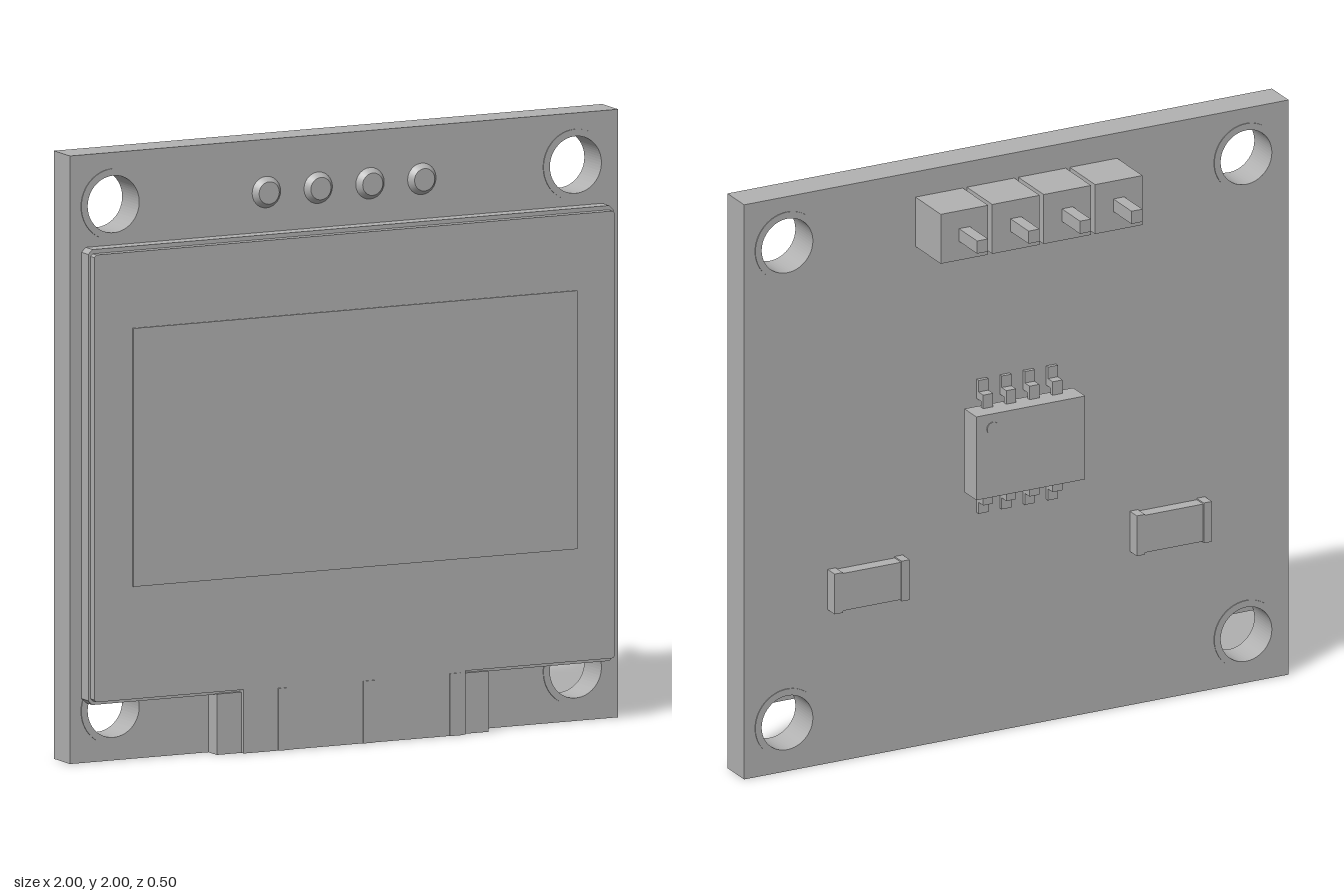
import * as THREE from 'three';

export function createModel() {
  const model = new THREE.Group();
  const grey = new THREE.MeshStandardMaterial({ color: 0xb2b2b2 });
  grey.name = 'plain grey';

  const add = (name, geometry) => {
    const mesh = new THREE.Mesh(geometry, grey);
    mesh.name = name;
    model.add(mesh);
    return mesh;
  };
  // Box given by its limits on each axis
  const block = (name, x0, x1, y0, y1, z0, z1) => {
    const g = new THREE.BoxGeometry(x1 - x0, y1 - y0, z1 - z0);
    g.translate((x0 + x1) / 2, (y0 + y1) / 2, (z0 + z1) / 2);
    return add(name, g);
  };
  // Flat outline pushed from z0 to z1
  const slab = (name, shape, z0, z1) => {
    const g = new THREE.ExtrudeGeometry(shape, { depth: z1 - z0, bevelEnabled: false, curveSegments: 32 });
    g.translate(0, 0, z0);
    return add(name, g);
  };
  const outline = (pts) => new THREE.Shape(pts.map(([x, y]) => new THREE.Vector2(x, y)));
  const circle = (x, y, r) => new THREE.Path().absarc(x, y, r, 0, Math.PI * 2, true);

  // Circuit board with four mounting holes
  const holeSpots = [[-0.843, 0.17], [0.843, 0.17], [-0.843, 1.83], [0.843, 1.83]];
  const board = outline([[-1, 0], [1, 0], [1, 2], [-1, 2]]);
  for (const [x, y] of holeSpots) board.holes.push(circle(x, y, 0.094));
  slab('circuitBoard', board, 0.05, 0.165);

  // Thin plating rings round the holes, both faces
  for (const [x, y] of holeSpots) {
    const ring = new THREE.Shape().absarc(x, y, 0.117, 0, Math.PI * 2, false);
    ring.holes.push(circle(x, y, 0.094));
    slab('holeRingFront', ring, 0.165, 0.168);
    slab('holeRingBack', ring, 0.047, 0.05);
  }

  // Display: two glass layers with clipped corners, and a thin film
  const glass = (w, y0, y1, c) => outline([
    [-w + c, y0], [w - c, y0], [w, y0 + c], [w, y1 - c],
    [w - c, y1], [-w + c, y1], [-w, y1 - c], [-w, y0 + c],
  ]);
  slab('rearGlass', glass(0.958, 0.197, 1.695, 0.015), 0.165, 0.213);
  slab('frontGlass', glass(0.95, 0.21, 1.681, 0.008), 0.213, 0.24);
  block('displayFilm', -0.81, 0.81, 0.58, 1.43, 0.24, 0.245);

  // Ribbon tab below the display
  block('ribbonBase', -0.495, 0.495, 0, 0.2, 0.165, 0.225);
  block('ribbonFront', -0.405, 0.405, 0, 0.21, 0.213, 0.24);
  for (const x of [-0.26, 0.05, 0.365]) {
    block('ribbonRidge', x - 0.02, x + 0.02, 0, 0.205, 0.24, 0.244);
  }

  // Four-way pin header with solder joints on the front
  for (let i = 0; i < 4; i++) {
    const x = (i - 1.5) * 0.189;
    block('headerBlock', x - 0.087, x + 0.087, 1.74, 1.912, -0.125, 0.05);
    block('headerPin', x - 0.02, x + 0.02, 1.806, 1.85, -0.25, -0.125);
    const joint = new THREE.CylinderGeometry(0.037, 0.052, 0.02, 24);
    joint.rotateX(Math.PI / 2);
    joint.translate(x, 1.826, 0.175);
    add('solderJoint', joint);
  }

  // Chip with eight bent legs and a corner mark
  block('chipBody', -0.2, 0.2, 0.86, 1.15, -0.05, 0.033);
  const dot = new THREE.CylinderGeometry(0.022, 0.022, 0.004, 20);
  dot.rotateX(Math.PI / 2);
  dot.translate(0.14, 1.1, -0.052);
  add('chipMark', dot);
  for (let i = 0; i < 4; i++) {
    const x = (i - 1.5) * 0.085;
    for (const s of [-1, 1]) {
      const leg = (name, a, b, z0, z1) => {
        const y = [1.005 + s * a, 1.005 + s * b].sort((p, q) => p - q);
        block(name, x - 0.018, x + 0.018, y[0], y[1], z0, z1);
      };
      leg('legShoulder', 0.14, 0.19, 0.005, 0.02);
      leg('legRiser', 0.165, 0.192, 0.005, 0.05);
      leg('legFoot', 0.165, 0.232, 0.037, 0.05);
    }
  }

  // Two surface-mounted parts with raised end caps
  for (const s of [-1, 1]) {
    const x = s * 0.555;
    block('componentBody', x - 0.11, x + 0.11, 0.54, 0.67, 0.006, 0.05);
    for (const e of [-1, 1]) {
      const cx = x + e * 0.123;
      block('componentCap', cx - 0.015, cx + 0.015, 0.535, 0.675, 0.002, 0.05);
    }
  }
  return model;
}
